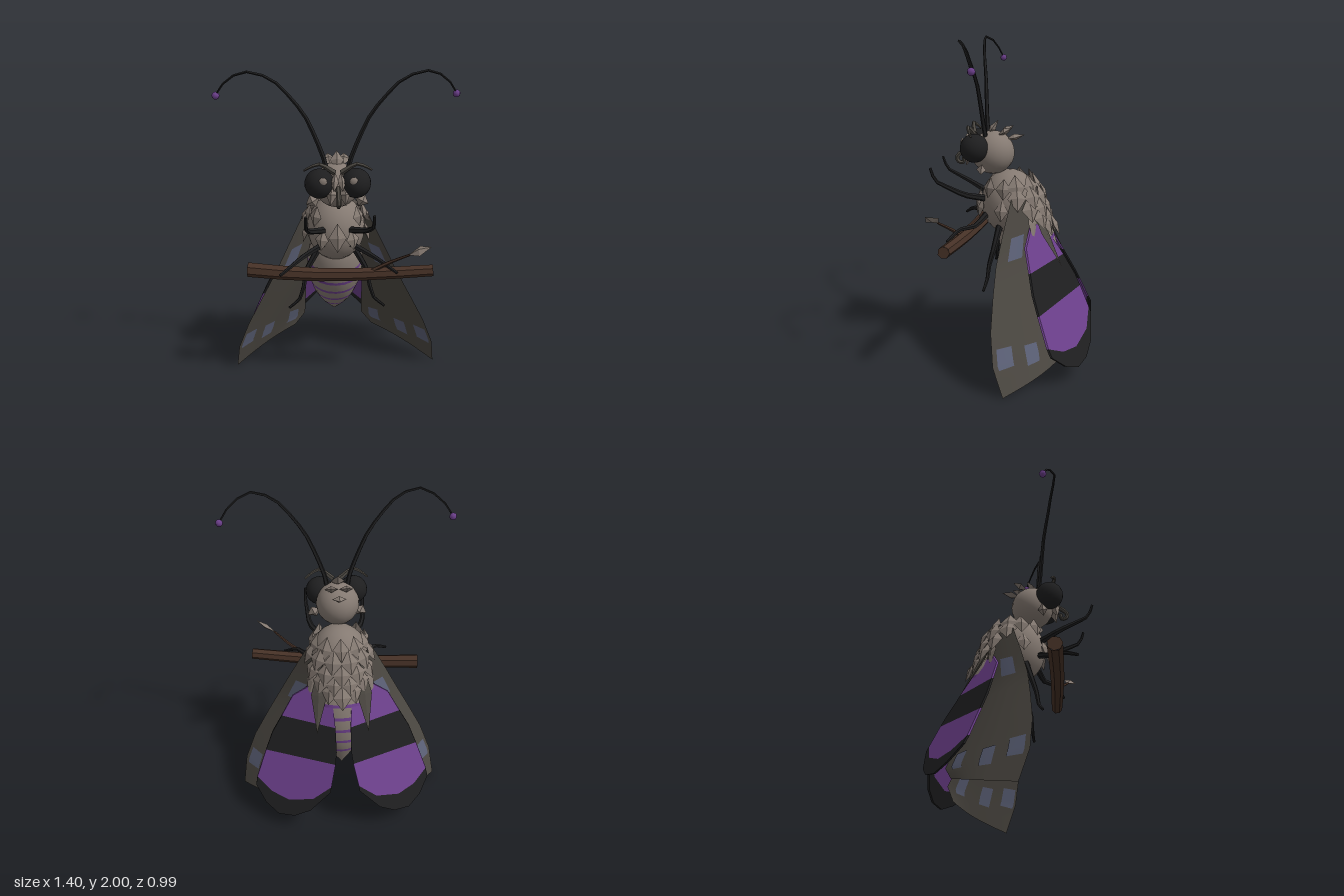
import * as THREE from 'three';

const V = (x, y, z) => new THREE.Vector3(x, y, z);
const mat = (name, color, side = THREE.FrontSide) => {
  const m = new THREE.MeshStandardMaterial({ color, side });
  m.name = name;
  return m;
};
const M = {
  fur: mat('warm grey fur', 0x857a72),
  wing: mat('dark grey wing', 0x4b4741, THREE.DoubleSide),
  black: mat('black', 0x1e1e1f),
  purple: mat('purple', 0x6b3f8a),
  bark: mat('brown bark', 0x463126),
  slate: mat('slate patch', 0x5b6076, THREE.DoubleSide),
};

function add(parent, name, geo, material, pos) {
  const mesh = new THREE.Mesh(geo, material);
  mesh.name = name;
  if (pos) mesh.position.copy(pos);
  parent.add(mesh);
  return mesh;
}

// Tube through points, tapering from r0 to r1, with closed ends
function limb(parent, name, pts, r0, r1, material, sides = 6, steps = 12, tension = 0.5) {
  const curve = new THREE.CatmullRomCurve3(pts.map((p) => V(...p)), false, 'catmullrom', tension);
  const tube = new THREE.TubeGeometry(curve, steps, 1, sides);
  const pos = tube.attributes.position;
  const v = new THREE.Vector3();
  for (let i = 0; i < pos.count; i++) {
    const t = Math.floor(i / (sides + 1)) / steps;
    const c = curve.getPointAt(t);
    v.fromBufferAttribute(pos, i).sub(c).multiplyScalar(r0 + (r1 - r0) * t).add(c);
    pos.setXYZ(i, v.x, v.y, v.z);
  }
  const geo = tube.toNonIndexed();
  geo.computeVertexNormals();
  const g = new THREE.Group();
  g.name = name;
  add(g, name + 'Shaft', geo, material);
  [[0, r0, -1], [1, r1, 1]].forEach(([t, r, dir]) => {
    const cap = add(g, name + 'End', new THREE.CircleGeometry(r, sides), material, curve.getPointAt(t));
    cap.quaternion.setFromUnitVectors(V(0, 0, 1), curve.getTangentAt(t).multiplyScalar(dir));
  });
  parent.add(g);
}

// Diamond scale from base to tip, flat side towards n
function scale(parent, name, base, tip, width, n, material = M.fur, thick = 0.04) {
  const y = tip.clone().sub(base);
  const len = y.length();
  y.normalize();
  const x = y.clone().cross(n).normalize();
  const z = x.clone().cross(y);
  const geo = new THREE.OctahedronGeometry(0.5);
  geo.scale(width, len, thick);
  const m = add(parent, name, geo, material, base.clone().lerp(tip, 0.5));
  m.quaternion.setFromRotationMatrix(new THREE.Matrix4().makeBasis(x, y, z));
}

// Thin hindwing plate drawn in x,y and slanted onto a plane
function hindPlate(parent, name, outline, material) {
  const shape = new THREE.Shape(outline.map((p) => new THREE.Vector2(...p)));
  const geo = new THREE.ExtrudeGeometry(shape, { depth: 0.012, bevelEnabled: false });
  const p = geo.attributes.position;
  for (let i = 0; i < p.count; i++) {
    p.setZ(i, p.getZ(i) + 0.581 * p.getX(i) + 0.572 * p.getY(i) - 0.737);
  }
  geo.computeVertexNormals();
  add(parent, name, geo, material);
}

// Forewing cross-sections from root to tip: leading and trailing points
const wingRows = [
  [[0.21, 1.06, -0.01], [0.11, 1.06, -0.13]],
  [[0.305, 0.87, 0.03], [0.11, 0.9, -0.165]],
  [[0.388, 0.7, 0.06], [0.155, 0.72, -0.165]],
  [[0.475, 0.535, 0.068], [0.19, 0.5, -0.24]],
  [[0.565, 0.36, 0.07], [0.195, 0.3, -0.335]],
  [[0.635, 0.18, 0.05], [0.2, 0.19, -0.385]],
  [[0.66, 0.003, -0.01], [0.27, 0.115, -0.35]],
].map((row) => row.map((p) => V(...p)));

// Point on the gently curved forewing: u across the wing, v along it
function wingPoint(u, v) {
  const i = Math.min(Math.floor(v), wingRows.length - 2);
  const lead = wingRows[i][0].clone().lerp(wingRows[i + 1][0], v - i);
  const trail = wingRows[i][1].clone().lerp(wingRows[i + 1][1], v - i);
  const p = lead.lerp(trail, u);
  p.z -= 0.035 * Math.sin(Math.PI * u) * v / 6;
  return p;
}

function wingSheet(parent, name, u0, u1, v0, v1, nu, nv, dz, material) {
  const geo = new THREE.PlaneGeometry(1, 1, nu, nv);
  const pos = geo.attributes.position;
  for (let i = 0; i < pos.count; i++) {
    const p = wingPoint(u0 + (u1 - u0) * (pos.getX(i) + 0.5), v0 + (v1 - v0) * (0.5 - pos.getY(i)));
    pos.setXYZ(i, p.x, p.y, p.z + dz);
  }
  geo.computeVertexNormals();
  add(parent, name, geo, material);
}

function ball(parent, name, r, material, pos, s = [1, 1, 1]) {
  const geo = new THREE.SphereGeometry(r, 20, 14);
  geo.scale(...s);
  return add(parent, name, geo, material, pos);
}

function buildSide() {
  const g = new THREE.Group();
  // Forewing with slate patches on both faces
  wingSheet(g, 'forewing', 0, 1, 0, 6, 8, 12, 0, M.wing);
  [[0.04, 0.2, 4.5, 5.15], [0.34, 0.49, 4.6, 5.35], [0.73, 0.88, 4.4, 5.25], [0.22, 0.55, 1.2, 1.95]].forEach(([u0, u1, v0, v1]) => {
    [-0.006, 0.006].forEach((dz) => wingSheet(g, 'wingPatch', u0, u1, v0, v1, 4, 8, dz, M.slate));
  });
  // Banded hindwing
  hindPlate(g, 'hindwingRoot', [[0.12, 0.92], [0.18, 0.88], [0.3, 0.79], [0.375, 0.66], [0.047, 0.68], [0.055, 0.77],
    [0.08, 0.86]], M.purple);
  hindPlate(g, 'hindwingBand', [[0.047, 0.68], [0.375, 0.66], [0.44, 0.55], [0.485, 0.44], [0.055, 0.48], [0.045, 0.55]], M.black);
  hindPlate(g, 'hindwingMiddle', [[0.055, 0.48], [0.485, 0.44], [0.55, 0.27], [0.46, 0.215], [0.35, 0.2], [0.2, 0.25],
    [0.085, 0.35]], M.purple);
  hindPlate(g, 'hindwingTip', [[0.085, 0.35], [0.2, 0.25], [0.35, 0.2], [0.46, 0.215], [0.55, 0.27], [0.56, 0.22], [0.5, 0.14],
    [0.42, 0.1], [0.32, 0.12], [0.22, 0.18], [0.09, 0.32]], M.black);
  // Long scales over the wing root
  scale(g, 'wingRootScale', V(0.12, 1.06, -0.1), V(0.16, 0.64, -0.315), 0.1, V(0.3, 0.3, -1), M.wing, 0.025);
  scale(g, 'wingRootScale', V(0.14, 1.02, -0.12), V(0.2, 0.8, -0.15), 0.09, V(0.5, 0.3, -1), M.fur, 0.025);

  // Antenna with purple knob
  limb(g, 'antenna', [[0.06, 1.4, 0.16], [0.08, 1.49, 0.17], [0.13, 1.62, 0.18], [0.185, 1.74, 0.19], [0.27, 1.855, 0.21],
    [0.365, 1.95, 0.225], [0.485, 1.992, 0.235], [0.565, 1.97, 0.2], [0.63, 1.92, 0.17], [0.68, 1.85, 0.14]],
  0.015, 0.005, M.black, 5, 12);
  add(g, 'antennaKnob', new THREE.SphereGeometry(0.022, 8, 6), M.purple, V(0.68, 1.847, 0.14));

  // Eye, brow, cheek and mouth scales
  ball(g, 'eye', 0.087, M.black, V(0.106, 1.35, 0.225));
  ball(g, 'eyeGlint', 0.024, M.fur, V(0.088, 1.383, 0.298), [1, 1, 0.5]);
  limb(g, 'brow', [[0.02, 1.42, 0.24], [0.1, 1.475, 0.26], [0.15, 1.46, 0.25], [0.195, 1.43, 0.23]],
    0.017, 0.006, M.wing, 5, 6);
  scale(g, 'cheekScale', V(0.105, 1.25, 0.18), V(0.185, 1.205, 0.175), 0.08, V(0.3, 0, 1), M.fur, 0.06);
  scale(g, 'mouthScale', V(0.03, 1.36, 0.25), V(0.045, 1.23, 0.285), 0.065, V(0.2, 0, 1), M.fur, 0.06);
  scale(g, 'noseScale', V(0.015, 1.42, 0.24), V(0.025, 1.32, 0.3), 0.05, V(0.2, 0.3, 1));

  // Three legs
  limb(g, 'frontLeg', [[0.07, 1.03, 0.15], [0.17, 1.075, 0.28], [0.19, 1.16, 0.45], [0.19, 1.24, 0.48]],
    0.022, 0.008, M.black, 6, 9, 0.15);
  limb(g, 'middleLeg', [[0.06, 0.95, 0.14], [0.2, 0.89, 0.21], [0.26, 0.88, 0.3], [0.345, 0.83, 0.355]],
    0.022, 0.009, M.black, 6, 9, 0.15);
  limb(g, 'hindLeg', [[0.11, 0.88, 0.07], [0.19, 0.74, 0.1], [0.205, 0.65, 0.125], [0.235, 0.56, 0.135], [0.3, 0.51, 0.15]],
    0.022, 0.008, M.black, 6, 10, 0.15);
  return g;
}

function buildBody(root) {
  ball(root, 'thorax', 1, M.fur, V(0, 1.0, 0.02), [0.18, 0.205, 0.18]);
  ball(root, 'head', 0.134, M.fur, V(0, 1.31, 0.125));

  // Tapering abdomen with thin purple rings
  const abdomen = new THREE.Group();
  abdomen.name = 'abdomen';
  abdomen.position.set(0, 0.93, -0.04);
  abdomen.rotation.x = 0.27;
  const profile = new THREE.SplineCurve([[0.1, 0.02], [0.165, -0.1], [0.178, -0.22], [0.165, -0.34], [0.125, -0.46],
    [0.07, -0.55], [0.001, -0.635]].map((p) => new THREE.Vector2(...p)));
  const stops = [0, 0.3, 0.33, 0.42, 0.45, 0.54, 0.57, 0.66, 0.69, 0.78, 0.81, 1];
  for (let i = 0; i < stops.length - 1; i++) {
    const pts = [];
    for (let k = 0; k <= 4; k++) pts.push(profile.getPointAt(stops[i + 1] + (stops[i] - stops[i + 1]) * k / 4));
    add(abdomen, i % 2 ? 'abdomenRing' : 'abdomenSegment', new THREE.LatheGeometry(pts, 20), i % 2 ? M.purple : M.fur);
  }
  root.add(abdomen);

  // Overlapping scales down the back, narrowing to a point: [count, angle step, y, radius, z shift]
  [[5, 0.62, 1.13, 0.135, 0], [6, 0.52, 1.07, 0.165, 0.01], [5, 0.48, 1.0, 0.178, 0.02], [4, 0.45, 0.94, 0.17, 0.045],
    [3, 0.4, 0.89, 0.155, 0.07], [1, 0, 0.87, 0.155, 0.095]].forEach(([count, step, y, r, shift]) => {
    for (let i = 0; i < count; i++) {
      const a = (i - (count - 1) / 2) * step;
      const n = V(Math.sin(a), 0.2, -Math.cos(a));
      const p = V(Math.sin(a) * r, y, 0.02 - Math.cos(a) * r - shift);
      scale(root, 'backScale', p.clone().add(V(0, 0.065, 0)), p.clone().addScaledVector(n, 0.065).add(V(0, -0.095, 0)), 0.115, n);
    }
  });
  // Shoulder and chest scales
  const ring = (angles, y, r, len, width) => angles.forEach((a) => {
    const n = V(Math.sin(a), 0.1, Math.cos(a));
    const p = V(Math.sin(a) * r, y, 0.02 + Math.cos(a) * r);
    scale(root, 'chestScale', p.clone().add(V(0, len / 2, 0)), p.clone().addScaledVector(n, 0.03).add(V(0, -len / 2, 0)), width, n);
  });
  ring([-1.45, -0.85, 0.85, 1.45], 1.11, 0.155, 0.13, 0.1);
  ring([-1.4, -0.5, 0.5, 1.4], 0.98, 0.178, 0.13, 0.09);
  ring([0], 1.0, 0.18, 0.18, 0.11);

  // Crest scales on the head
  [[0, 1.41, 0.16, 0, 1.51, 0.09], [-0.04, 1.42, 0.09, -0.05, 1.47, 0.0], [0.04, 1.42, 0.09, 0.05, 1.47, 0.0],
    [0, 1.39, 0.05, 0, 1.42, -0.07]].forEach(([a, b, c, d, e, f]) => {
    scale(root, 'crestScale', V(a, b, c), V(d, e, f), 0.085, V(0, 1, 0.8));
  });

  // Curled tongue
  limb(root, 'tongue', [[0, 1.33, 0.26], [0, 1.31, 0.315], [0, 1.275, 0.35], [0, 1.243, 0.335], [0, 1.247, 0.305], [0, 1.275, 0.31]],
    0.016, 0.012, M.wing, 6, 12);
}

function buildPerch(root) {
  limb(root, 'branch', [[-0.54, 0.805, 0.2], [-0.2, 0.79, 0.25], [0.15, 0.8, 0.29], [0.56, 0.835, 0.333]],
    0.046, 0.036, M.bark, 7, 5);
  limb(root, 'twig', [[0.19, 0.82, 0.3], [0.3, 0.89, 0.33], [0.41, 0.965, 0.395]], 0.014, 0.007, M.bark, 5, 4);
  scale(root, 'bud', V(0.4, 0.96, 0.39), V(0.525, 1.03, 0.44), 0.085, V(-0.3, 0.9, 0.3), M.fur, 0.03);
}

export function createModel() {
  const root = new THREE.Group();
  root.name = 'perchedMoth';
  buildBody(root);
  [['leftSide', 1], ['rightSide', -1]].forEach(([name, s]) => {
    const side = buildSide();
    side.name = name;
    side.scale.x = s;
    root.add(side);
  });
  buildPerch(root);
  return root;
}
